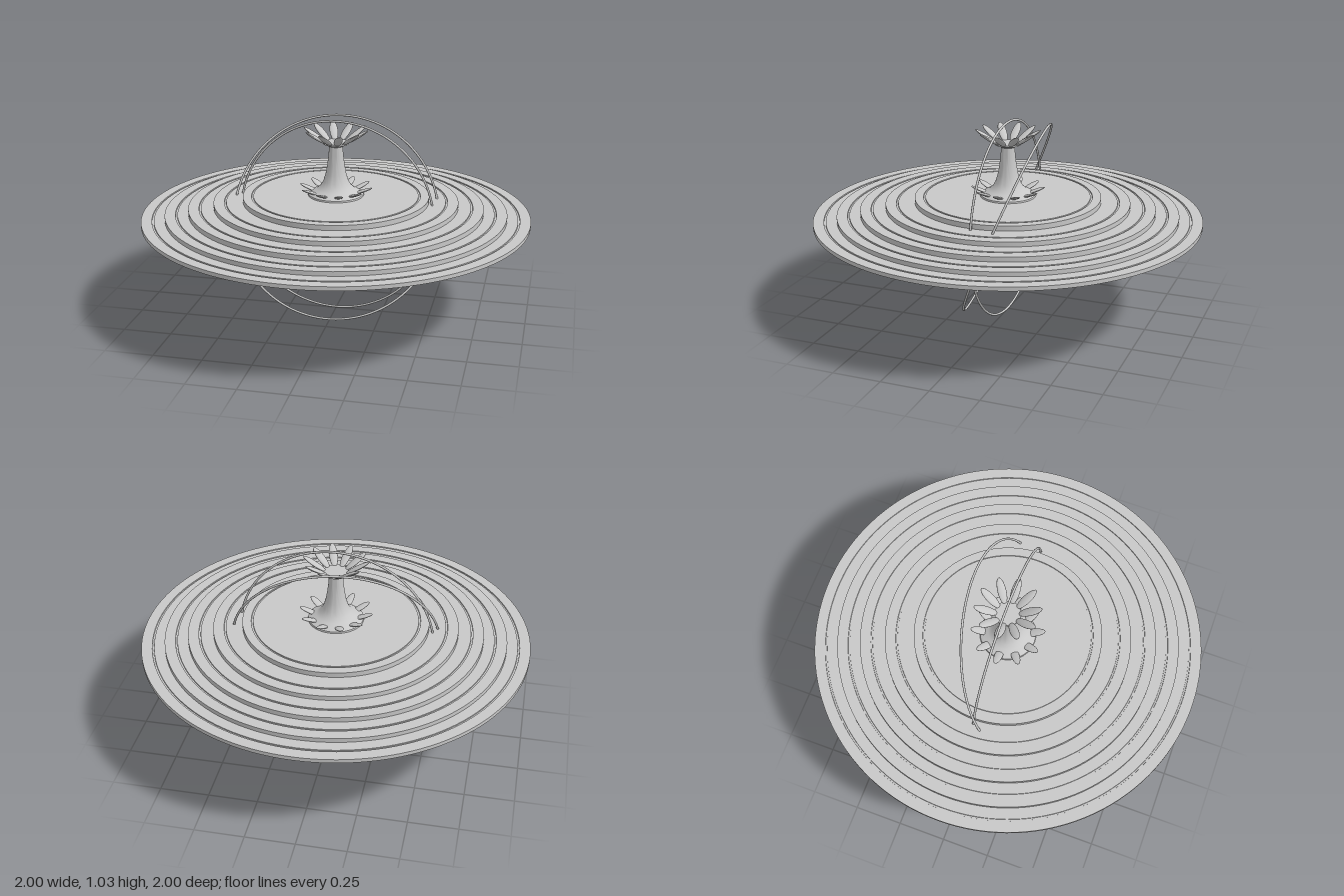
import * as THREE from 'three';
import { toCreasedNormals } from 'three/addons/utils/BufferGeometryUtils.js';

const grey = new THREE.MeshStandardMaterial({ color: 0xc8c8c8 });
grey.name = 'pale grey';

function add(parent, geometry, name) {
  const mesh = new THREE.Mesh(geometry, grey);
  mesh.name = name;
  parent.add(mesh);
  return mesh;
}

function lathe(points, segments, crease) {
  const profile = points.map(([r, y]) => new THREE.Vector2(r, y));
  return toCreasedNormals(new THREE.LatheGeometry(profile, segments), crease);
}

// Radial crown of flattened paddle-shaped petals
function petalCrown(name, { count, radius, y, tilt, length, width, thickness }) {
  const crown = new THREE.Group();
  crown.name = name;
  for (let i = 0; i < count; i++) {
    const arm = new THREE.Group();
    arm.rotation.y = (i / count) * Math.PI * 2;
    const petal = add(arm, new THREE.SphereGeometry(1, 20, 12), 'petal');
    petal.scale.set(length, thickness, width);
    petal.position.set(radius, y, 0);
    petal.rotation.z = tilt;
    crown.add(arm);
  }
  return crown;
}

export function createModel() {
  const model = new THREE.Group();
  model.name = 'tieredDiscFountain';

  // Stepped disc: each tier has a shallow groove just inside its rim
  const tiers = [[1, 0.54, 0.94], [0.88, 0.562, 0.82], [0.76, 0.587, 0.7], [0.63, 0.611, 0.57], [0.48, 0.637, 0.43]];
  const profile = [[0, 0.52], [1, 0.52]];
  let below = 0.52;
  for (const [rim, top, groove] of tiers) {
    if (below > 0.52) profile.push([rim, below]);
    profile.push([rim, top], [groove + 0.005, top], [groove + 0.004, top - 0.005],
      [groove - 0.004, top - 0.005], [groove - 0.005, top]);
    below = top;
  }
  profile.push([0, below]);
  add(model, lathe(profile, 128, 0.5), 'steppedDisc');

  // Raised ring under the disc
  const lip = add(model, new THREE.TorusGeometry(0.47, 0.01, 12, 96), 'undersideRing');
  lip.rotation.x = Math.PI / 2;
  lip.position.y = 0.52;

  // Flared central stem with a flat cap
  add(model, lathe([
    [0.145, 0.632], [0.142, 0.645], [0.125, 0.656], [0.1, 0.667], [0.08, 0.685], [0.065, 0.71],
    [0.053, 0.75], [0.044, 0.8], [0.038, 0.85], [0.035, 0.895], [0.045, 0.903], [0.065, 0.908],
    [0.065, 0.917], [0, 0.917],
  ], 48, 0.7), 'stem');

  // Petals at the top and the foot of the stem
  model.add(petalCrown('upperPetals',
    { count: 10, radius: 0.108, y: 0.947, tilt: 0.57, length: 0.069, width: 0.022, thickness: 0.009 }));
  model.add(petalCrown('lowerPetals',
    { count: 10, radius: 0.137, y: 0.662, tilt: 0.37, length: 0.057, width: 0.021, thickness: 0.007 }));

  // Upright ring and tilted ring circling the disc
  const upright = add(model, new THREE.TorusGeometry(0.509, 0.006, 10, 128), 'uprightRing');
  upright.position.y = 0.515;
  const tilted = add(model, new THREE.TorusGeometry(0.532, 0.006, 10, 128), 'tiltedRing');
  tilted.position.y = 0.515;
  tilted.quaternion.setFromUnitVectors(new THREE.Vector3(0, 0, 1),
    new THREE.Vector3(0.14, 0.38, 0.914).normalize());

  return model;
}
